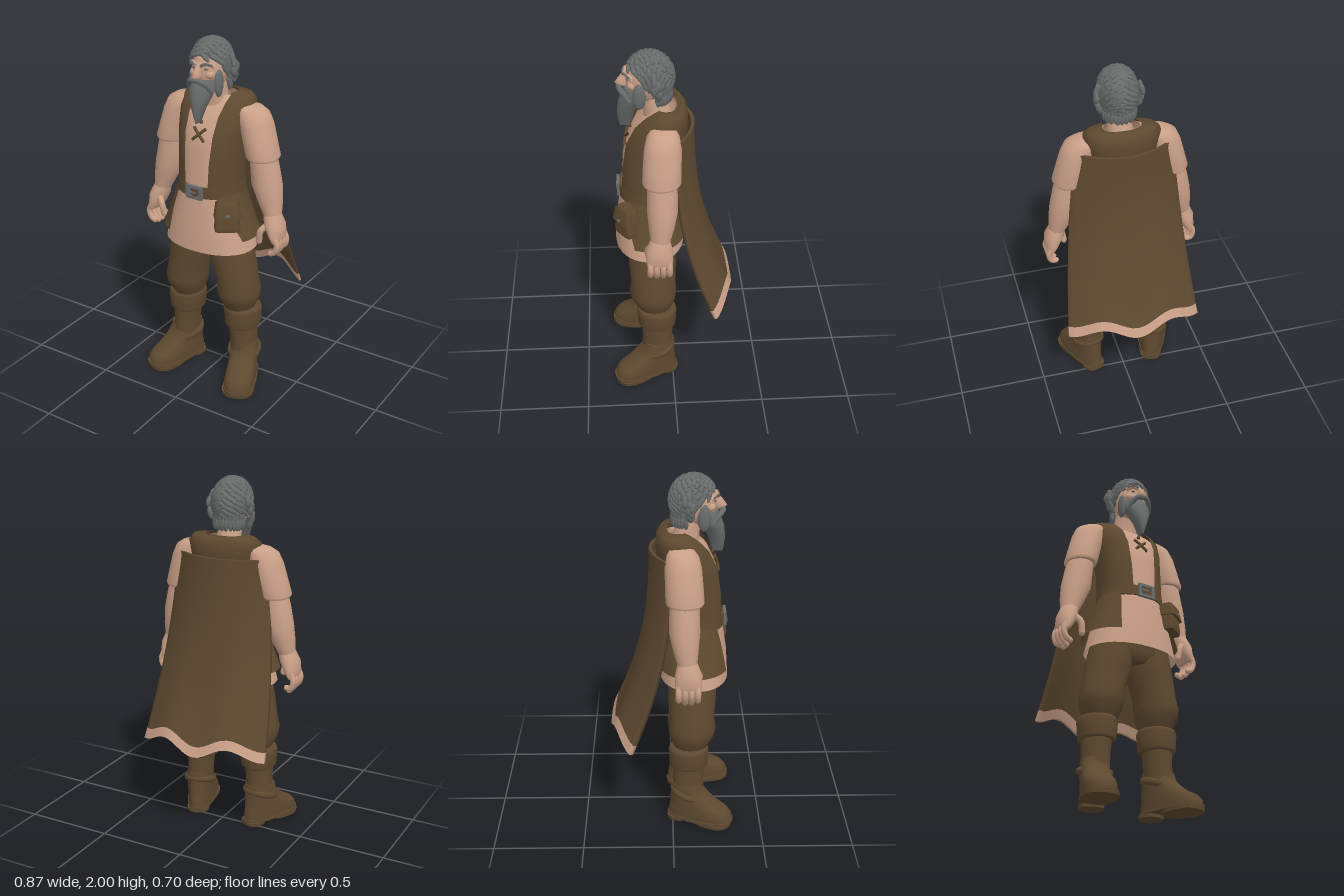
import * as THREE from 'three';
import { mergeGeometries } from 'three/addons/utils/BufferGeometryUtils.js';

const V = (x, y, z) => new THREE.Vector3(x, y, z);
const flat = (name, color) => new THREE.MeshStandardMaterial({ name, color, side: THREE.DoubleSide });

// Skin a surface over bands of rows of points (rows run bottom to top, anticlockwise from the front)
function skin(bands, closed) {
  const pos = [], idx = [];
  for (const rows of bands) {
    const base = pos.length / 3, n = rows[0].length, cols = closed ? n : n - 1;
    rows.forEach(r => r.forEach(p => pos.push(p.x, p.y, p.z)));
    for (let i = 0; i < rows.length - 1; i++) for (let j = 0; j < cols; j++) {
      const a = base + i * n + j, b = base + i * n + (j + 1) % n;
      idx.push(a, b, a + n, b, b + n, a + n);
    }
  }
  const g = new THREE.BufferGeometry();
  g.setAttribute('position', new THREE.Float32BufferAttribute(pos, 3));
  g.setIndex(idx);
  g.computeVertexNormals();
  return g;
}

// Loft through level rings [y, cx, cz, rx, rz, startAngle, endAngle]; angle 0 is the front
function loft(rings, { power = 2, n = 24, cap = true } = {}) {
  const sorted = [...rings].sort((a, b) => a[0] - b[0]);
  const open = sorted[0].length > 5;
  const bend = v => Math.sign(v) * Math.pow(Math.abs(v), 2 / power);
  const rows = sorted.map(([y, cx, cz, rx, rz, a0 = 0, a1 = Math.PI * 2]) =>
    Array.from({ length: open ? n + 1 : n }, (_, j) => {
      const t = a0 + (a1 - a0) * j / n;
      return V(cx + rx * bend(Math.sin(t)), y, cz + rz * bend(Math.cos(t)));
    }));
  const bands = [rows];
  if (cap && !open) {
    const tip = i => rows[i].map(() => V(sorted[i][1], sorted[i][0], sorted[i][2]));
    const last = rows.length - 1;
    bands.push([tip(0), rows[0]], [rows[last], tip(last)]);
  }
  return skin(bands, !open);
}

const tube = (pts, r, seg = 10) => new THREE.TubeGeometry(new THREE.CatmullRomCurve3(pts), seg, r, 8);
const ball = (x, y, z, rx, ry, rz, w = 20, h = 14) =>
  new THREE.SphereGeometry(1, w, h).scale(rx, ry, rz).translate(x, y, z);

// Flattened lock of hair lying on a surface with normal n, pointing along d
function lock(p, n, d, w, len, thick) {
  const y = d.clone().addScaledVector(n, -d.dot(n)).normalize();
  const x = y.clone().cross(n).normalize();
  const m = new THREE.Matrix4().makeBasis(x, y, n).scale(V(w, len, thick)).setPosition(p);
  return new THREE.SphereGeometry(1, 7, 5).applyMatrix4(m);
}

export function createModel() {
  const model = new THREE.Group();
  model.name = 'beardedVillager';
  const beige = flat('beige', 0xcaa088), brown = flat('brown', 0x5e4930), grey = flat('grey', 0x6a6d6c);
  const add = (name, geo, mat) => {
    const m = new THREE.Mesh(geo, mat);
    m.name = name;
    model.add(m);
    return m;
  };
  let seed = 7;
  const rnd = () => (seed = (seed * 16807) % 2147483647) / 2147483647;

  // Shirt, from hem to collar
  add('shirt', loft([[.85, 0, .12, .265, .19], [1.0, 0, .12, .225, .18], [1.17, 0, .115, .172, .16],
    [1.25, 0, .112, .163, .152], [1.4, 0, .1, .168, .155], [1.5, 0, .082, .178, .152], [1.6, 0, .055, .19, .13],
    [1.65, 0, .03, .18, .095], [1.685, 0, .03, .1, .07]], { power: 2.2, n: 40, cap: false }), beige);
  add('neck', loft([[1.6, 0, .06, .085, .085], [1.68, 0, .075, .066, .07], [1.8, 0, .1, .06, .07]]), beige);

  // Open vest and its split skirt
  const vest = [[1.21, .178, .275, -.045, .07], [1.35, .178, .27, -.055, .075], [1.5, .19, .25, -.08, .085],
    [1.6, .206, .20, -.09, .09], [1.66, .208, .14, -.088, .095], [1.692, .18, .095, -.065, .1], [1.697, .105, .08, -.03, .085]];
  add('vest', loft(vest.map(([y, rx, f, b, gap]) => {
    const a = Math.pow(gap / rx, 1.2);
    return [y, 0, (f + b) / 2, rx, (f - b) / 2, Math.asin(a), Math.PI * 2 - Math.asin(a)];
  }), { power: 2.4, n: 44 }), brown);
  add('vestCollar', loft([[1.66, 0, .03, .13, .1, 1.2, 5.08], [1.7, 0, .025, .11, .075, 1.3, 4.98]]), brown);
  add('vestSkirt', loft([[1.2, 0, .115, .178, .163, .6, 5.5], [1.06, 0, .118, .227, .19, .9, 5.6],
    [.93, 0, .118, .28, .207, 1.15, 5.7]], { power: 2.2, n: 40 }), brown);

  // Belt, buckle and neck laces
  add('belt', loft([[1.16, 0, .115, .186, .17], [1.22, 0, .115, .183, .166]], { power: 2.2, n: 40 }), brown);
  const frame = new THREE.Shape([[-.05, -.038], [.05, -.038], [.05, .038], [-.05, .038]].map(p => new THREE.Vector2(...p)));
  frame.holes.push(new THREE.Path([[-.033, -.022], [-.033, .022], [.033, .022], [.033, -.022]].map(p => new THREE.Vector2(...p))));
  add('buckle', new THREE.ExtrudeGeometry(frame, { depth: .016, bevelEnabled: false }).translate(0, 1.19, .28), grey);
  add('bucklePlate', new THREE.BoxGeometry(.03, .046, .012).translate(0, 1.19, .288), brown);
  add('buckleProng', new THREE.BoxGeometry(.045, .01, .008).translate(-.012, 1.19, .295), grey);
  for (const s of [-1, 1])
    add('neckLace', tube([V(-.036 * s, 1.535, .228), V(0, 1.503, .242), V(.036 * s, 1.47, .248)], .008), brown);
  add('laceKnot', ball(0, 1.565, .215, .01, .01, .01, 8, 6), brown);

  // Belt pouch on the left hip
  const pouch = new THREE.Group();
  pouch.name = 'pouch';
  const pouchParts = [
    ['pouchBag', loft([[-.08, 0, 0, .066, .042], [-.06, 0, 0, .07, .046], [.06, 0, 0, .058, .036], [.075, 0, 0, .05, .028]], { power: 5 }), brown],
    ['pouchFlap', loft([[.005, 0, .006, .072, .05], [.07, 0, 0, .064, .043], [.085, 0, 0, .052, .03]], { power: 5 }), brown],
    ['pouchStud', ball(0, .02, .056, .011, .011, .007, 10, 6), grey]];
  for (const [name, g, m] of pouchParts) {
    const mesh = new THREE.Mesh(g, m);
    mesh.name = name;
    pouch.add(mesh);
  }
  pouch.position.set(.18, 1.08, .245);
  pouch.rotation.y = .6;
  model.add(pouch);

  // Hips under the shirt
  add('hips', loft([[.8, 0, .11, .1, .1], [.85, 0, .115, .22, .13], [.97, 0, .115, .2, .13]]), brown);

  for (const s of [-1, 1]) {
    const side = s > 0 ? 'left' : 'right';
    const limb = (name, rings, mat, opt) => add(side + name, loft(rings.map(([y, cx, ...r]) => [y, cx * s, ...r]), opt), mat);

    // Sleeve, arm and hand
    limb('Sleeve', [[1.375, .287, .062, .082, .094], [1.39, .287, .062, .09, .102], [1.47, .265, .058, .09, .1], [1.56, .238, .053, .092, .097],
      [1.615, .215, .05, .09, .085], [1.64, .195, .046, .07, .065], [1.65, .18, .045, .03, .04]], beige);
    limb('Arm', [[1.45, .275, .06, .07, .075], [1.33, .298, .06, .078, .08], [1.23, .313, .06, .084, .082],
      [1.14, .338, .066, .068, .068], [1.06, .36, .074, .047, .052]], beige);
    limb('Palm', [[1.08, .358, .075, .047, .05], [1.02, .377, .08, .055, .07], [.96, .395, .08, .04, .072], [.93, .403, .08, .022, .066]], beige);
    for (let i = 0; i < 4; i++) {
      const z = .028 + i * .034, low = .85 + (i === 0 ? .025 : i === 3 ? .012 : 0);
      add(side + 'Finger', mergeGeometries([
        tube([V(.405 * s, .96, z), V(.421 * s, .915, z), V(.405 * s, .875, z), V(.383 * s, low, z)], .0165),
        ball(.383 * s, low, z, .0165, .0165, .0165, 8, 6)]), beige);
    }
    add(side + 'Thumb', mergeGeometries([
      tube([V(.365 * s, 1.03, .11), V(.325 * s, .985, .14), V(.313 * s, .925, .135)], .018),
      ball(.313 * s, .925, .135, .018, .022, .018, 8, 6)]), beige);

    // Baggy trouser leg
    limb('TrouserLeg', [[.92, .115, .115, .11, .12], [.84, .122, .112, .122, .13], [.75, .138, .11, .125, .132], [.65, .163, .108, .116, .125],
      [.58, .174, .11, .119, .132], [.53, .175, .106, .113, .122], [.47, .173, .1, .084, .095]], brown);

    // Boot: cuff, shaft, ankle wrap, foot and sole
    limb('BootCuff', [[.348, .188, .09, .088, .098], [.36, .188, .09, .1, .108], [.45, .187, .09, .108, .113], [.47, .186, .09, .1, .105],
      [.472, .186, .09, .085, .09]], brown);
    limb('BootShaft', [[.37, .19, .09, .08, .09], [.27, .194, .088, .074, .086], [.18, .198, .088, .074, .09]], brown);
    const foot = (name, rings) => {
      const g = loft(rings, { power: 2.5, n: 28 }), p = g.attributes.position;
      for (let i = 0; i < p.count; i++) p.setX(i, p.getX(i) * (1 + 1.1 * Math.max(-.1, p.getZ(i))));
      g.computeVertexNormals();
      add(side + name, g.rotateY(.33 * s).translate(.2 * s, 0, .08), brown);
    };
    foot('BootFoot', [[.025, 0, .08, .073, .185], [.06, 0, .08, .076, .184], [.09, 0, .07, .074, .168], [.12, 0, .045, .074, .138],
      [.16, 0, .02, .074, .112], [.2, 0, .004, .074, .092], [.24, 0, 0, .07, .086]]);
    foot('BootWelt', [[.018, 0, .081, .079, .192], [.034, 0, .081, .079, .192]]);
    foot('BootBall', [[0, 0, .155, .075, .112], [.02, 0, .155, .077, .115]]);
    foot('BootHeel', [[0, 0, -.05, .068, .06], [.02, 0, -.05, .07, .062]]);
    add(side + 'AnkleWrap', new THREE.TorusGeometry(.083, .014, 8, 24).rotateX(Math.PI / 2).scale(1, 1.4, 1.12)
      .rotateX(.3).rotateY(.33 * s).translate(.2 * s, .18, .09), brown);
  }

  // Cape: a curved slab flaring down and back, with a pale wavy hem
  const capePoint = (u, v, t) => V(u * (.27 + .11 * v),
    1.59 - v * (1.03 + .035 * Math.cos(u * Math.PI * 2)),
    -.005 - .225 * Math.pow(v, 2.1) - .112 * (1 - u * u) + t);
  const capeRow = (v, t) => {
    const us = Array.from({ length: 25 }, (_, i) => i / 12 - 1);
    return [...us.map(u => capePoint(u, v, t)), ...us.reverse().map(u => capePoint(u, v, -t))];
  };
  const capeSlab = (v0, v1, steps) => {
    const rows = Array.from({ length: steps + 1 }, (_, i) => capeRow(v1 + (v0 - v1) * i / steps, .009));
    return skin([rows, [capeRow(v1, 0), rows[0]], [rows[steps], capeRow(v0, 0)]], true);
  };
  add('cape', capeSlab(0, .95, 16), brown);
  add('capeHem', capeSlab(.95, 1, 2), beige);

  // Face
  add('head', ball(0, 1.84, .125, .088, .13, .11), beige);
  add('nose', loft([[1.808, 0, .245, .014, .025], [1.825, 0, .252, .023, .038], [1.85, 0, .24, .014, .032], [1.89, 0, .222, .011, .018]], { n: 12 }), beige);
  for (const s of [-1, 1]) {
    add('cheek', ball(.045 * s, 1.825, .2, .028, .024, .026, 12, 8), beige);
    add('browRidge', tube([V(.012 * s, 1.876, .236), V(.042 * s, 1.886, .226), V(.07 * s, 1.872, .198)], .011), beige);
    add('eyebrow', tube([V(.016 * s, 1.878, .246), V(.042 * s, 1.89, .237), V(.068 * s, 1.878, .21)], .006), grey);
    add('eye', ball(.037 * s, 1.858, .223, .014, .006, .008, 10, 6), grey);
    add('ear', ball(.092 * s, 1.84, .105, .014, .035, .022, 12, 8), beige);
    add('moustache', tube([V(0, 1.806, .268), V(.028 * s, 1.802, .266), V(.052 * s, 1.78, .245), V(.066 * s, 1.74, .215)], .015), grey);
    add('sideburn', ball(.078 * s, 1.775, .165, .018, .075, .035, 12, 8), grey);
  }
  add('beard', loft([[1.8, 0, .18, .075, .06], [1.76, 0, .19, .08, .07], [1.71, 0, .218, .062, .058], [1.65, 0, .236, .037, .046],
    [1.6, 0, .24, .018, .036], [1.57, 0, .242, .006, .026]], { n: 18 }), grey);

  // Hair: a tilted cap covered in overlapping locks swept away from a parting
  const c = V(0, 1.855, .11), R = V(.1, .134, .125), tilt = .7;
  add('hairCap', new THREE.SphereGeometry(1, 28, 18, 0, Math.PI * 2, 0, 1.75).rotateX(-tilt)
    .scale(R.x, R.y, R.z).translate(c.x, c.y, c.z), grey);
  const axis = V(0, Math.cos(tilt), -Math.sin(tilt)), locks = [];
  for (let i = 0, N = 260; i < N; i++) {
    const y = 1 - 2 * (i + .5) / N, r = Math.sqrt(1 - y * y), a = i * 2.39996;
    const n = V(r * Math.cos(a), y, r * Math.sin(a));
    if (n.dot(axis) < -.2) continue;
    const d = V(n.x > .03 ? 1 : -1, -.9 + rnd() * .4, -.4 + rnd() * .5);
    locks.push(lock(n.clone().multiply(R).add(c), n, d, .014, .034 + rnd() * .01, .011));
  }
  // Side curls and loose ends at the nape
  for (const s of [-1, 1]) for (let i = 0; i < 9; i++) {
    const n = V(s, .2 - i * .05, (rnd() - .5) * .8).normalize();
    locks.push(lock(V((.106 + .018 * Math.sin((i + 1) * .33)) * s, 1.895 - i * .0135, .085 + (rnd() - .5) * .05), n, V(0, -1, rnd() - .5), .018, .03, .015));
  }
  for (let i = 0; i < 13; i++) {
    const a = (i / 12 - .5) * 2.7, n = V(Math.sin(a), 0, -Math.cos(a));
    for (const y of [1.8, 1.755]) locks.push(lock(V(n.x * .085, y, .09 + n.z * .09), n, V(rnd() * .6 - .3, -1, 0), .015, .042, .014));
  }
  add('hairLocks', mergeGeometries(locks), grey);
  return model;
}
